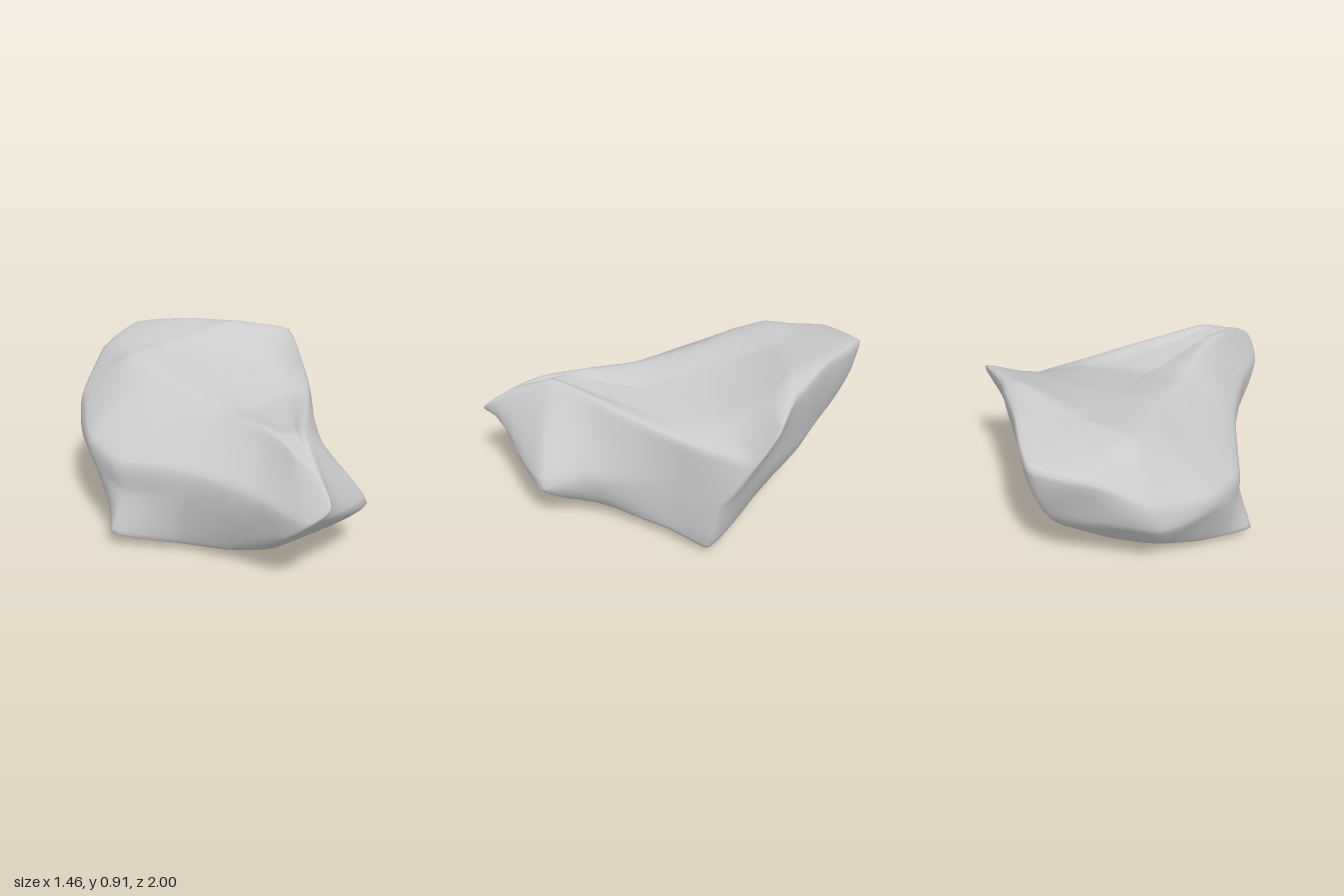
import * as THREE from 'three';
import { mergeVertices } from 'three/addons/utils/BufferGeometryUtils.js';

// Each ring runs from the front tip round the left, back and right sides.
const foot = [
  [-0.2, 0.1, 0.56], [0.06, 0.05, 0.5], [0.27, 0.09, 0.36], [0.45, 0.08, 0.17], [0.61, 0.05, 0.01],
  [0.57, 0.06, -0.08], [0.42, 0.09, -0.25], [0.25, 0.13, -0.45], [0.05, 0.22, -0.66], [-0.18, 0.22, -0.64],
  [-0.38, 0.18, -0.54], [-0.54, 0.1, -0.34], [-0.73, 0.09, -0.13], [-0.48, 0.05, 0.13], [-0.37, 0.07, 0.36],
  [-0.3, 0.1, 0.5],
];
const wall = [
  [-0.27, 0.41, 0.9], [0.22, 0.31, 0.8], [0.25, 0.36, 0.57], [0.46, 0.36, 0.15], [0.67, 0.35, -0.04],
  [0.64, 0.42, -0.17], [0.5, 0.46, -0.41], [0.29, 0.45, -0.66], [0.06, 0.5, -0.9], [-0.2, 0.5, -0.85],
  [-0.48, 0.46, -0.76], [-0.65, 0.41, -0.41], [-0.65, 0.31, -0.13], [-0.5, 0.34, 0.2], [-0.37, 0.32, 0.6],
  [-0.36, 0.32, 0.81],
];
const rim = [
  [-0.26, 0.54, 1], [-0.1, 0.73, 0.68], [0.08, 0.72, 0.49], [0.43, 0.66, 0.15], [0.71, 0.64, -0.18],
  [0.72, 0.83, -0.33], [0.53, 0.86, -0.48], [0.31, 0.88, -0.74], [0.09, 0.84, -1], [-0.2, 0.78, -0.91],
  [-0.44, 0.63, -0.76], [-0.62, 0.53, -0.45], [-0.64, 0.48, -0.17], [-0.48, 0.5, 0.2], [-0.37, 0.48, 0.63],
  [-0.35, 0.45, 0.92],
];
const crown = [
  [-0.22, 0.66, 0.84], [-0.13, 0.74, 0.63], [0.02, 0.71, 0.44], [0.28, 0.68, 0.13], [0.46, 0.74, -0.11],
  [0.49, 0.84, -0.31], [0.4, 0.91, -0.48], [0.24, 0.89, -0.6], [0.06, 0.87, -0.75], [-0.15, 0.84, -0.7],
  [-0.26, 0.83, -0.58], [-0.27, 0.8, -0.4], [-0.22, 0.77, -0.17], [-0.21, 0.72, 0.15], [-0.2, 0.73, 0.45],
  [-0.23, 0.7, 0.7],
];
const bottom = [-0.2, 0, 0];

// Sagging centre line where both halves of the top meet, from front to back
const spine = [[-0.16, 0.735, 0.56], [0, 0.69, 0.18], [0.03, 0.78, -0.2], [0.03, 0.86, -0.56]];

// Underside: the foot ring drawn in towards the lowest point, hollow on the left
const underside = foot.map(([x, y, z]) => [
  bottom[0] + (x - bottom[0]) * 0.65, y * 0.45 + Math.max(0, x) * 0.11, z * 0.65,
]);

const curve = (points, closed) => new THREE.CatmullRomCurve3(points, closed, 'catmullrom', 0.25);
const toVectors = points => points.map(p => new THREE.Vector3(...p));

function rockGeometry(around, up) {
  const rings = [foot.map(() => bottom), underside, foot, wall, rim, crown]
    .map(ring => curve(toVectors(ring), true));
  const spineCurve = curve(toVectors(spine), false);
  const positions = [];
  const index = [];
  for (let i = 0; i < around; i++) {
    const points = rings.map(ring => ring.getPoint(i / around));
    const along = (0.56 - points[5].z) / 1.12;
    points.push(spineCurve.getPoint(THREE.MathUtils.clamp(along, 0, 1)));
    const rib = curve(points, false);
    for (let j = 0; j <= up; j++) {
      const t = j / up;
      const p = rib.getPoint(t);
      // Shallow dents, strongest halfway up the sides
      const dent = 0.012 * Math.sin(Math.PI * t) ** 4
        * Math.sin(9 * p.x + 5 * p.y) * Math.sin(11 * p.z - 8 * p.y + 1);
      positions.push(p.x * (1 + dent), Math.max(0, p.y), p.z * (1 + dent));
      if (j < up) {
        const a = i * (up + 1) + j;
        const b = ((i + 1) % around) * (up + 1) + j;
        index.push(a, b + 1, a + 1);
        if (j > 0) index.push(a, b, b + 1);
      }
    }
  }
  const geometry = new THREE.BufferGeometry();
  geometry.setAttribute('position', new THREE.Float32BufferAttribute(positions, 3));
  geometry.setIndex(index);
  const welded = mergeVertices(geometry, 1e-5);
  welded.computeVertexNormals();
  return welded;
}

export function createModel() {
  const group = new THREE.Group();
  group.name = 'boulder';
  const rock = new THREE.Mesh(
    rockGeometry(96, 36),
    new THREE.MeshStandardMaterial({ color: 0xcccccc }),
  );
  rock.name = 'rock';
  group.add(rock);
  return group;
}
